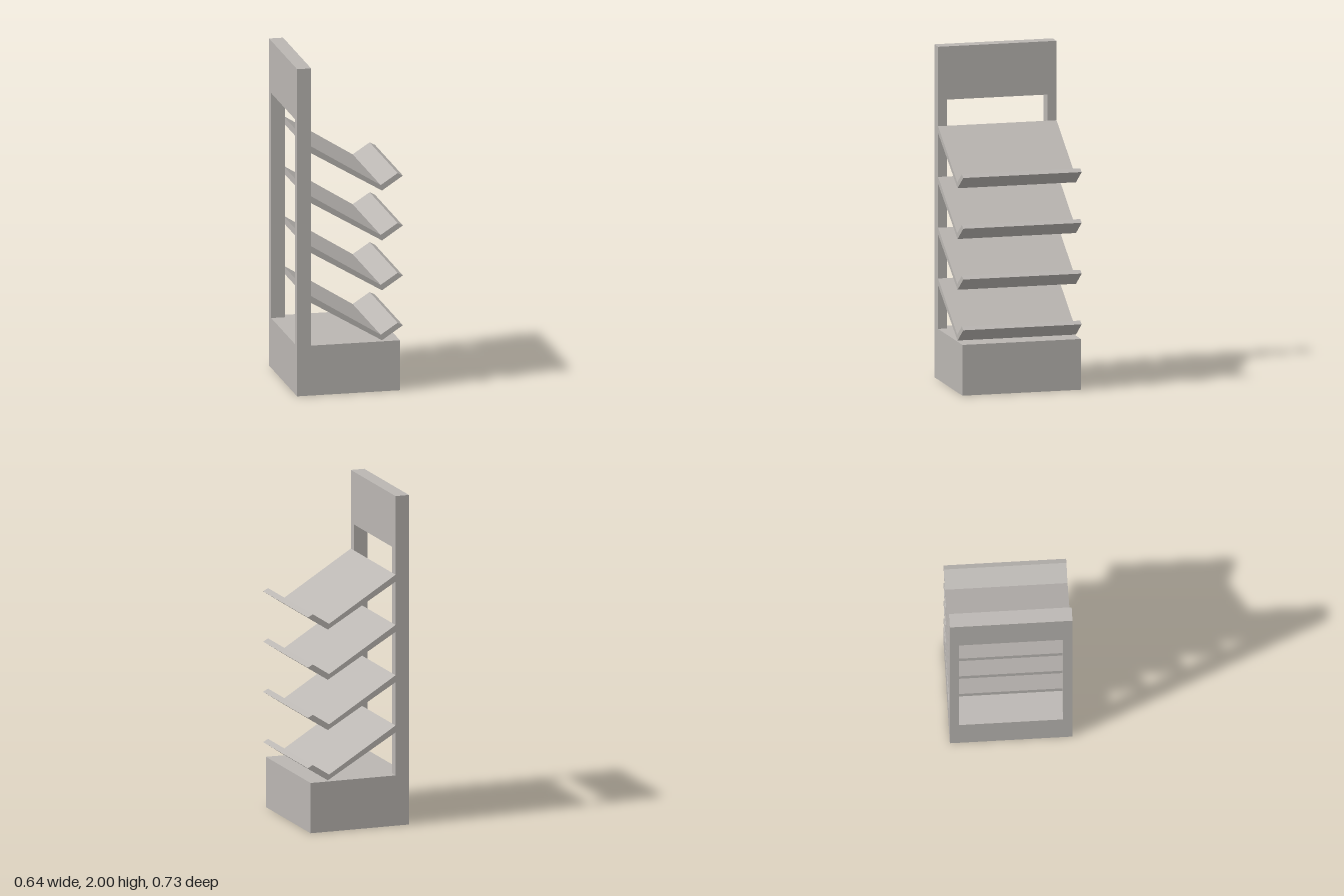
import * as THREE from 'three';

const HALF_DEPTH = 0.363;
const BACK_X = -0.321;   // rear plane of the upright frame
const FRAME_X = -0.236;  // front plane of the upright frame, where shelves attach
const BASE_TOP = 0.305;

const shapeFrom = (points) => new THREE.Shape(points.map(([a, b]) => new THREE.Vector2(a, b)));

export function createModel() {
  const rack = new THREE.Group();
  rack.name = 'displayRack';

  const greyMetal = new THREE.MeshStandardMaterial({ color: 0xbab6b2 });
  greyMetal.name = 'warm grey';

  const add = (name, geometry) => {
    const mesh = new THREE.Mesh(geometry, greyMetal);
    mesh.name = name;
    rack.add(mesh);
    return mesh;
  };

  // Upright frame: two posts and a header panel around one tall opening
  const outline = shapeFrom([[-HALF_DEPTH, 0], [HALF_DEPTH, 0], [HALF_DEPTH, 2], [-HALF_DEPTH, 2]]);
  const inner = 0.308;
  outline.holes.push(shapeFrom([[-inner, BASE_TOP], [-inner, 1.68], [inner, 1.68], [inner, BASE_TOP]]));
  const frameGeometry = new THREE.ExtrudeGeometry(outline, { depth: FRAME_X - BACK_X, bevelEnabled: false });
  frameGeometry.rotateY(Math.PI / 2);
  add('uprightFrame', frameGeometry).position.x = BACK_X;

  // Solid base block in front of the frame
  const baseLength = 0.303 - FRAME_X;
  add('base', new THREE.BoxGeometry(baseLength, BASE_TOP, HALF_DEPTH * 2))
    .position.set(FRAME_X + baseLength / 2, BASE_TOP / 2, 0);

  // Sloping shelves with an upturned lip, heights relative to the rear top edge
  const profile = shapeFrom([
    [FRAME_X, 0], [FRAME_X, -0.042], [0.194, -0.296],
    [0.321, -0.212], [0.289, -0.195], [0.186, -0.262],
  ]);
  const shelfGeometry = new THREE.ExtrudeGeometry(profile, { depth: HALF_DEPTH * 2, bevelEnabled: false });
  shelfGeometry.translate(0, 0, -HALF_DEPTH);
  for (let i = 0; i < 4; i++) {
    add(`shelf${i + 1}`, shelfGeometry).position.y = 0.608 + i * 0.305;
  }

  return rack;
}
